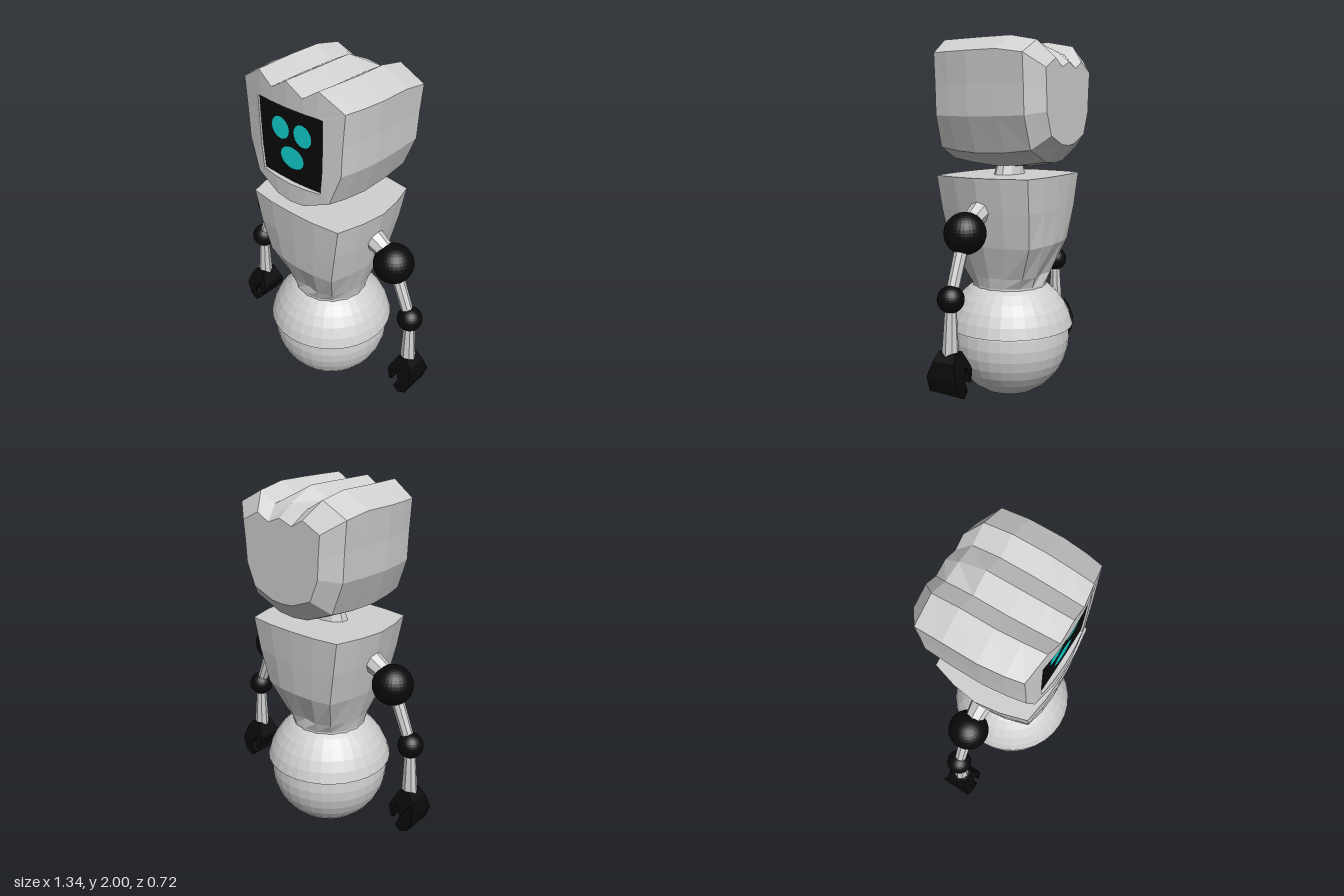
import * as THREE from 'three';

const shell = new THREE.MeshStandardMaterial({ color: 0xd0d0d0 });
shell.name = 'light grey shell';
const black = new THREE.MeshStandardMaterial({ color: 0x0a0a0a });
black.name = 'black';
const cyan = new THREE.MeshStandardMaterial({ color: 0x12d5d5 });
cyan.name = 'cyan light';

// Faceted normals for any geometry
function facet(geo) {
  const g = geo.index ? geo.toNonIndexed() : geo;
  g.computeVertexNormals();
  return g;
}

function add(parent, name, geo, mat, x = 0, y = 0, z = 0) {
  const m = new THREE.Mesh(facet(geo), mat);
  m.name = name;
  m.position.set(x, y, z);
  parent.add(m);
  return m;
}

// Skin between rings of [x, y, z], with optional fan caps
function loft(rings, capStart, capEnd) {
  const v = [];
  const n = rings[0].length;
  const tri = (a, b, c) => v.push(...a, ...b, ...c);
  for (let j = 0; j < rings.length - 1; j++) {
    for (let i = 0; i < n; i++) {
      const k = (i + 1) % n, p = rings[j], q = rings[j + 1];
      tri(p[i], p[k], q[k]);
      tri(p[i], q[k], q[i]);
    }
  }
  const cap = (r, flip) => {
    const c = [0, 1, 2].map((a) => r.reduce((s, p) => s + p[a], 0) / n);
    for (let i = 0; i < n; i++) {
      const k = (i + 1) % n;
      flip ? tri(c, r[k], r[i]) : tri(c, r[i], r[k]);
    }
  };
  if (capStart) cap(rings[0], true);
  if (capEnd) cap(rings[rings.length - 1], false);
  const g = new THREE.BufferGeometry();
  g.setAttribute('position', new THREE.Float32BufferAttribute(v, 3));
  return g;
}

// Tapered rod between two points
function rod(parent, name, from, to, r0, r1, sides = 8) {
  const a = new THREE.Vector3(...from), b = new THREE.Vector3(...to);
  const d = b.clone().sub(a);
  const m = add(parent, name, new THREE.CylinderGeometry(r1, r0, d.length(), sides), shell);
  m.position.copy(a).addScaledVector(d, 0.5);
  m.quaternion.setFromUnitVectors(new THREE.Vector3(0, 1, 0), d.normalize());
}

// Torso ring: rounded trapezoid blending into a circle at the waist
function torsoRing(y, hx, hz, round, notch = 0) {
  const quarter = [[0, 1], [0.42, 0.985], [0.83, 0.92], [0.945, 0.46], [1, 0]];
  const ring = [];
  for (let i = 0; i < 16; i++) {
    const a = (i * Math.PI) / 8;
    const [qx, qz] = quarter[i % 8 <= 4 ? i % 8 : 8 - (i % 8)];
    const sx = Math.sign(Math.round(Math.sin(a) * 9)), sz = Math.sign(Math.round(Math.cos(a) * 9));
    ring.push([
      hx * THREE.MathUtils.lerp(sx * qx, Math.sin(a), round), y,
      hz * THREE.MathUtils.lerp(sz * qz, Math.cos(a), round) - (i % 8 === 0 ? sz * notch : 0),
    ]);
  }
  return ring;
}

// Half outline, top to bottom, mirrored into a closed loop
function mirrored(half) {
  const left = half.map(([x, y]) => [-x, y]);
  return [...left, ...half.slice(1, -1).reverse()];
}

function buildHead() {
  const head = new THREE.Group();
  head.name = 'head';
  const half = [[0, 2], [0.11, 1.94], [0.21, 2], [0.36, 1.92], [0.347, 1.75],
    [0.34, 1.59], [0.27, 1.4], [0.1, 1.325], [0, 1.315]];
  const opening = mirrored([[0, 1.865], [0.11, 1.865], [0.18, 1.865], [0.212, 1.862],
    [0.211, 1.75], [0.207, 1.6], [0.195, 1.465], [0.1, 1.457], [0, 1.453]]);
  const bulge = (x) => 0.31 - 0.38 * x * x;

  // Sections from back to front: z, width, upper and lower scale, dip of the middle ridge
  const sections = [[-0.36, 0.72, 0.66, 0.63, 0.01], [-0.28, 0.985, 0.915, 0.915, 0.04],
    [-0.13, 1, 1, 0.98, 0], [0.05, 1, 1, 1, 0], [0.18, 0.96, 1, 0.96, 0], [null, 0.91, 1, 0.9, 0]];
  const rings = sections.map(([z, sx, st, sb, dip]) => mirrored(half).map(([x, y], i) => [
    x * sx,
    1.65 + (y - 1.65) * (y > 1.65 ? st : sb) - (i === 0 ? dip : 0),
    z === null ? bulge(x * sx) : z,
  ]));
  // Face frame and the recessed rim of the screen
  rings.push(opening.map(([x, y]) => [x, y, bulge(x)]));
  rings.push(opening.map(([x, y]) => [x, y, 0.282]));
  add(head, 'headShell', loft(rings, true, false), shell);

  const outline = new THREE.Shape(opening.map(([x, y]) => new THREE.Vector2(x, y)));
  add(head, 'screen', new THREE.ShapeGeometry(outline), black, 0, 0, 0.283);
  for (const s of [1, -1]) {
    add(head, s > 0 ? 'leftEye' : 'rightEye', new THREE.CircleGeometry(0.06, 16), cyan, s * 0.074, 1.73, 0.287);
  }
  add(head, 'mouth', new THREE.CircleGeometry(1, 16).scale(0.08, 0.06, 1), cyan, 0, 1.588, 0.287);
  return head;
}

function buildArm(s) {
  const arm = new THREE.Group();
  arm.name = s > 0 ? 'leftArm' : 'rightArm';
  rod(arm, 'shoulderStrut', [s * 0.29, 1.105, 0], [s * 0.43, 1.03, 0], 0.062, 0.045);
  add(arm, 'shoulderBall', new THREE.SphereGeometry(0.11, 32, 20), black, s * 0.446, 1, 0);
  rod(arm, 'upperArm', [s * 0.446, 1, 0], [s * 0.578, 0.685, 0], 0.037, 0.032);
  add(arm, 'elbowBall', new THREE.SphereGeometry(0.07, 28, 18), black, s * 0.578, 0.685, 0);
  rod(arm, 'forearm', [s * 0.578, 0.66, 0], [s * 0.588, 0.4, 0], 0.029, 0.044);

  // Claw hand, widening in depth toward the fingertips
  const claw = [[0.62, 0.416], [0.556, 0.416], [0.519, 0.337], [0.513, 0.315], [0.534, 0.257],
    [0.55, 0.257], [0.545, 0.305], [0.566, 0.342], [0.587, 0.3], [0.593, 0.278], [0.566, 0.215],
    [0.598, 0.185], [0.646, 0.21], [0.672, 0.294], [0.651, 0.374]];
  const shape = new THREE.Shape(claw.map(([x, y]) => new THREE.Vector2(s * x, y)));
  const g = new THREE.ExtrudeGeometry(shape, { depth: 1, bevelEnabled: false });
  const p = g.attributes.position;
  for (let i = 0; i < p.count; i++) {
    const depth = Math.min(0.09, 0.05 + (0.416 - p.getY(i)) * 0.32);
    p.setZ(i, (p.getZ(i) - 0.5) * 2 * depth);
  }
  add(arm, 'hand', g, black);
  return arm;
}

export function createModel() {
  const robot = new THREE.Group();
  robot.name = 'robot';

  // Rolling ball with a domed cover
  add(robot, 'rollingBall', new THREE.SphereGeometry(0.343, 32, 18), shell, 0, 0.345, 0);
  const domeAngle = Math.acos(0.075 / 0.37);
  add(robot, 'ballCover', new THREE.SphereGeometry(0.37, 32, 8, 0, Math.PI * 2, 0, domeAngle), shell, 0, 0.345, 0);
  add(robot, 'ballCoverRim', new THREE.RingGeometry(0.33, 0.362, 32).rotateX(Math.PI / 2), shell, 0, 0.42, 0);

  add(robot, 'torso', loft([
    torsoRing(0.62, 0.21, 0.21, 1),
    torsoRing(0.66, 0.21, 0.21, 1),
    torsoRing(0.72, 0.222, 0.225, 0.6, 0.025),
    torsoRing(0.9, 0.28, 0.283, 0.15),
    torsoRing(1.09, 0.322, 0.296, 0),
    torsoRing(1.275, 0.36, 0.307, 0),
  ], true, true), shell);

  add(robot, 'neck', new THREE.CylinderGeometry(0.09, 0.125, 0.1, 10).scale(1, 1, 0.6), shell, 0, 1.31, 0);
  robot.add(buildHead(), buildArm(1), buildArm(-1));
  return robot;
}
